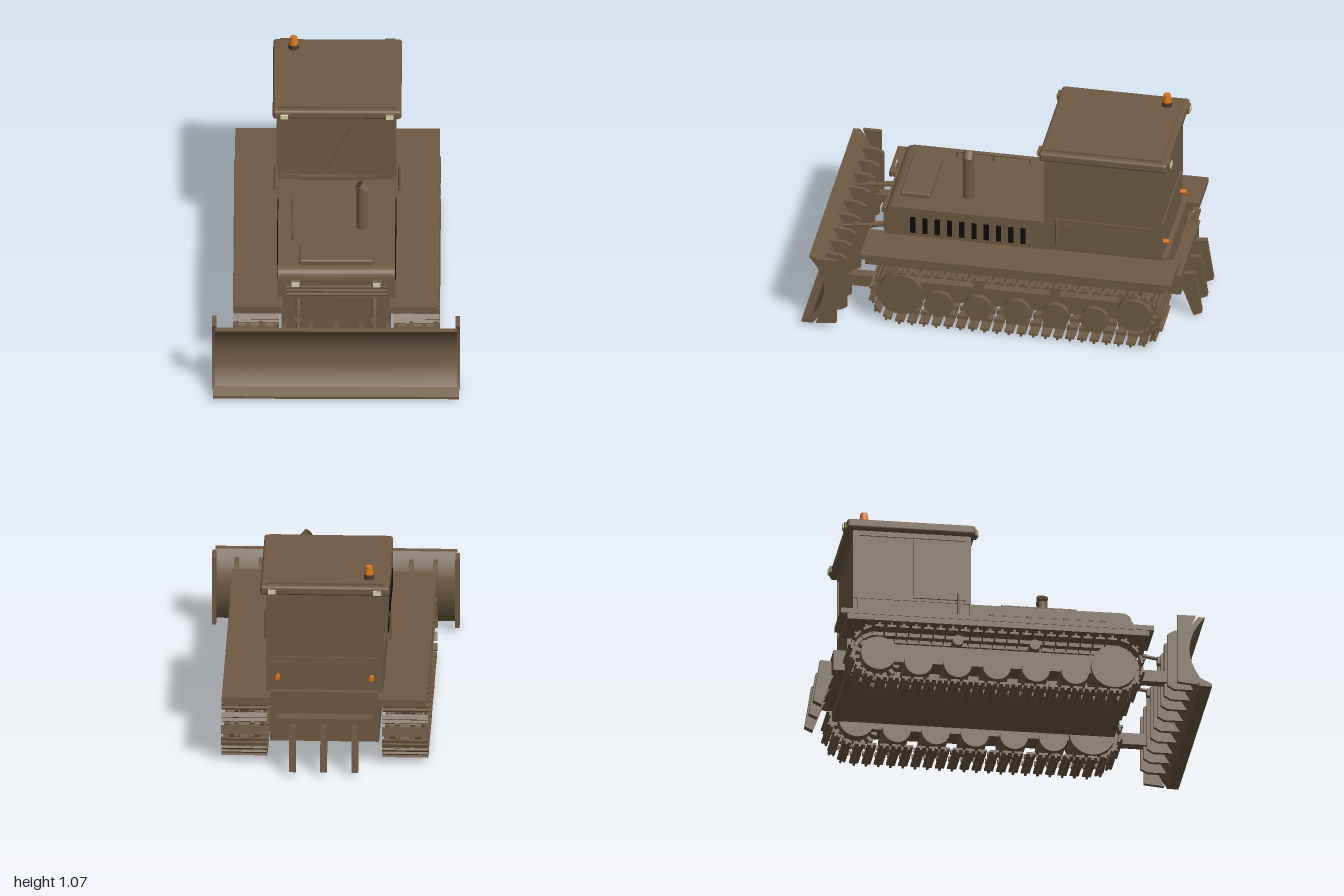
import * as THREE from 'three';
import { toCreasedNormals } from 'three/addons/utils/BufferGeometryUtils.js';
import { RoundedBoxGeometry } from 'three/addons/geometries/RoundedBoxGeometry.js';

export function createModel() {
  const model = new THREE.Group();
  const mat = (name, color) => Object.assign(new THREE.MeshStandardMaterial({ color }), { name });
  const brown = mat('brown paint', 0x6f5a43);
  const black = mat('vent black', 0x0c0c0c);
  const orange = mat('signal orange', 0xd8771c);
  const pale = mat('lamp glass', 0xdad5ac);
  const dark = mat('dark brown', 0x4a3c2e);

  const add = (name, geo, m, x = 0, y = 0, z = 0, parent = model) => {
    const mesh = new THREE.Mesh(geo, m);
    mesh.name = name;
    mesh.position.set(x, y, z);
    parent.add(mesh);
    return mesh;
  };
  // box given by its limits
  const box = (name, x0, x1, y0, y1, z0, z1, m = brown, r = 0, parent = model) => add(name,
    r ? new RoundedBoxGeometry(x1 - x0, y1 - y0, z1 - z0, 2, r) : new THREE.BoxGeometry(x1 - x0, y1 - y0, z1 - z0),
    m, (x0 + x1) / 2, (y0 + y1) / 2, (z0 + z1) / 2, parent);
  // side profile in (z, y) extruded across x
  const profile = (shape, width) => toCreasedNormals(
    new THREE.ExtrudeGeometry(shape, { depth: width, bevelEnabled: false, curveSegments: 14 })
      .translate(0, 0, -width / 2).rotateY(-Math.PI / 2), 0.6);
  const poly = pts => new THREE.Shape(pts.map(p => new THREE.Vector2(...p)));
  // thin rectangular frame in the xy plane
  const frame = (w, h, t, depth) => {
    const rect = (P, a, b) => new P([[-a, -b], [a, -b], [a, b], [-a, b]].map(p => new THREE.Vector2(...p)));
    const s = rect(THREE.Shape, w / 2, h / 2);
    s.holes.push(rect(THREE.Path, w / 2 - t, h / 2 - t));
    return new THREE.ExtrudeGeometry(s, { depth, bevelEnabled: false });
  };
  const rod = (name, a, b, r, m = brown) => {
    const p = new THREE.Vector3(...a), q = new THREE.Vector3(...b), d = q.clone().sub(p);
    const mesh = add(name, new THREE.CylinderGeometry(r, r, d.length(), 12), m);
    mesh.position.copy(p).add(q).multiplyScalar(0.5);
    mesh.quaternion.setFromUnitVectors(new THREE.Vector3(0, 1, 0), d.normalize());
    return mesh;
  };

  // hull and hood
  box('hull', -0.28, 0.28, 0.135, 0.41, -0.84, 0.62);
  const hood = new THREE.Shape();
  hood.moveTo(-0.21, 0.38).lineTo(0.63, 0.38).lineTo(0.63, 0.515);
  hood.quadraticCurveTo(0.628, 0.565, 0.575, 0.565).lineTo(-0.21, 0.565);
  add('hood', profile(hood, 0.6), brown);
  box('hoodHatch', -0.19, 0.19, 0.56, 0.59, 0.415, 0.57, brown, 0.01);
  add('grilleFrame', frame(0.54, 0.13, 0.013, 0.012), brown, 0, 0.468, 0.628);
  for (const y of [0.425, 0.448, 0.471, 0.515]) {
    const slat = box('grilleSlat', -0.26, 0.26, y - 0.004, y + 0.004, 0.625, 0.642);
    slat.rotation.x = 0.35;
  }

  // exhaust with an angled outlet
  rod('exhaustPipe', [0.13, 0.56, 0.225], [0.13, 0.8, 0.225], 0.029);
  rod('exhaustOutlet', [0.145, 0.792, 0.225], [0.115, 0.826, 0.225], 0.029);
  rod('exhaustBore', [0.116, 0.825, 0.225], [0.1145, 0.8267, 0.225], 0.022, dark);

  // hood handrail
  rod('handrail', [-0.225, 0.6, -0.035], [-0.225, 0.6, 0.355], 0.006);
  for (const z of [-0.03, 0.16, 0.35]) rod('handrailPost', [-0.225, 0.56, z], [-0.225, 0.6, z], 0.006);

  // cab, window frames and roof
  box('cab', -0.295, 0.295, 0.39, 0.96, -0.805, -0.21);
  add('windshieldFrame', frame(0.6, 0.38, 0.026, 0.01), brown, 0, 0.755, -0.212);
  add('rearWindowFrame', frame(0.6, 0.38, 0.026, 0.01), brown, 0, 0.755, -0.803).rotation.y = Math.PI;
  box('rearPanel', -0.3, 0.3, 0.4, 0.563, -0.812, -0.8);
  for (const s of [-1, 1]) {
    const turn = s * Math.PI / 2;
    add('sideWindowFrame', frame(0.6, 0.38, 0.025, 0.008), brown, s * 0.294, 0.755, -0.507).rotation.y = turn;
    box('doorPanel', s * 0.297 - 0.005, s * 0.297 + 0.005, 0.41, 0.563, -0.79, -0.225);
    rod('doorHandle', [s * 0.32, 0.455, -0.27], [s * 0.32, 0.61, -0.27], 0.007);
    for (const y of [0.47, 0.595]) rod('handleMount', [s * 0.29, y, -0.27], [s * 0.32, y, -0.27], 0.005);
  }
  box('slidingWindow', -0.31, -0.296, 0.58, 0.91, -0.5, -0.23);
  rod('wiper', [0.085, 0.91, -0.2], [-0.055, 0.63, -0.2], 0.005);
  box('wiperCowl', -0.19, 0.19, 0.568, 0.59, -0.212, -0.19);
  box('roof', -0.33, 0.33, 0.95, 1.0, -0.845, -0.18, brown, 0.014);
  box('roofPanel', -0.3, 0.3, 0.995, 1.01, -0.815, -0.21);

  // lamps
  for (const s of [-1, 1]) {
    const lamp = (name, x, y, z, dir) => {
      box(name + 'Housing', x - 0.027, x + 0.027, y - 0.018, y + 0.018, z - 0.012, z + 0.012, brown, 0.004);
      box(name + 'Glass', x - 0.02, x + 0.02, y - 0.012, y + 0.012, z + dir * 0.014 - 0.004, z + dir * 0.014 + 0.004, pale);
    };
    lamp('headlight', s * 0.208, 0.5, 0.646, 1);
    lamp('roofFrontLamp', s * 0.27, 0.975, -0.178, 1);
    lamp('roofRearLamp', s * 0.27, 0.975, -0.845, -1);
    rod('rearSignal', [s * 0.24, 0.485, -0.81], [s * 0.24, 0.485, -0.842], 0.013, orange);
  }
  add('beaconBase', new THREE.CylinderGeometry(0.026, 0.026, 0.03, 16), dark, -0.225, 1.02, -0.745);
  add('beacon', new THREE.CylinderGeometry(0.018, 0.025, 0.045, 16), orange, -0.225, 1.055, -0.745);

  // tracks, both sides
  const zF = 0.51, zR = -0.705, yC = 0.167, run = zF - zR, R = 0.138;
  const total = 2 * run + 2 * Math.PI * R, count = 52;
  const trackPoint = t => { // position and outward angle along the loop
    let d = t * total;
    if (d < run) return [zR + d, yC + R, Math.PI / 2];
    d -= run;
    if (d < Math.PI * R) { const a = Math.PI / 2 - d / R; return [zF + R * Math.cos(a), yC + R * Math.sin(a), a]; }
    d -= Math.PI * R;
    if (d < run) return [zF - d, yC - R, -Math.PI / 2];
    const a = -Math.PI / 2 - (d - run) / R;
    return [zR + R * Math.cos(a), yC + R * Math.sin(a), a];
  };
  const shoeGeo = new THREE.BoxGeometry(0.235, 0.012, 0.046);
  const grouserGeo = new THREE.BoxGeometry(0.235, 0.022, 0.012);
  const linkGeo = new THREE.BoxGeometry(0.022, 0.022, 0.055);
  for (const s of [-1, 1]) {
    const side = new THREE.Group();
    side.name = s > 0 ? 'leftTrack' : 'rightTrack';
    model.add(side);
    const cx = s * 0.412;
    const wheel = (name, y, z, r, w, n = 28) =>
      add(name, new THREE.CylinderGeometry(r, r, w, n).rotateZ(Math.PI / 2), brown, cx, y, z, side);
    wheel('idler', 0.167, zF, 0.117, 0.18);
    wheel('sprocket', 0.172, zR, 0.092, 0.16);
    for (let i = 0; i < 16; i++) {
      const a = i / 16 * Math.PI * 2;
      add('sprocketTooth', new THREE.BoxGeometry(0.05, 0.04, 0.02), brown, cx,
        0.17 + 0.1 * Math.cos(a), zR + 0.1 * Math.sin(a), side).rotation.x = a;
    }
    for (let i = 0; i < 5; i++) wheel('roadWheel', 0.128, 0.31 - i * 0.2025, 0.072, 0.18);
    for (const z of [0.103, -0.295]) wheel('returnRoller', 0.268, z, 0.028, 0.17, 18);
    box('trackFrame', cx - 0.06, cx + 0.06, 0.135, 0.235, -0.62, 0.45, brown, 0, side);
    for (let i = 0; i < count; i++) {
      const [z, y, a] = trackPoint(i / count);
      const shoe = new THREE.Group();
      shoe.name = 'trackShoe';
      shoe.position.set(cx, y, z);
      shoe.rotation.x = Math.PI / 2 - a;
      side.add(shoe);
      add('shoePlate', shoeGeo, brown, 0, 0.005, 0, shoe);
      add('grouser', grouserGeo, brown, 0, 0.013, 0, shoe);
      for (const x of [-0.04, 0.04]) add('trackLink', linkGeo, brown, x, -0.01, 0, shoe);
    }
    // fender above the track
    box('fender', cx - 0.137, cx + 0.113, 0.373, 0.4, -0.905, 0.715);
    box('fenderSkirt', cx - 0.137, cx + 0.106, 0.343, 0.375, -0.87, 0.69);
    if (s < 0) side.children.length && model.children.slice(-2).forEach(m => { m.position.x = -0.4; });
    // hood side vents
    for (let i = 0; i < 10; i++) {
      const z = 0.482 - i * 0.0638;
      box('hoodVent', s * 0.301 - 0.004, s * 0.301 + 0.004, 0.422, 0.515, z - 0.013, z + 0.013, black);
    }
    // blade push arm and lift cylinder
    box('pushArm', s * 0.385 - 0.028, s * 0.385 + 0.028, 0.137, 0.2, 0.4, 0.86);
    rod('liftCylinder', [s * 0.195, 0.4, 0.6], [s * 0.195, 0.375, 0.72], 0.014);
    rod('liftRod', [s * 0.195, 0.38, 0.7], [s * 0.195, 0.355, 0.86], 0.009);
    box('liftBracket', s * 0.195 - 0.017, s * 0.195 + 0.017, 0.335, 0.375, 0.775, 0.81);
  }

  // curved blade
  const blade = new THREE.Shape();
  blade.moveTo(0.965, 0.418).quadraticCurveTo(0.805, 0.235, 0.965, 0.045);
  blade.lineTo(0.935, 0.03).quadraticCurveTo(0.775, 0.235, 0.93, 0.418);
  add('blade', profile(blade, 1.24), brown);
  add('cuttingEdge', profile(poly([[1.0, 0.025], [1.0, 0.04], [0.945, 0.068], [0.93, 0.05], [0.94, 0.025]]), 1.26), brown);
  for (const s of [-1, 1]) {
    const cheek = new THREE.Shape();
    cheek.moveTo(0.82, 0.418).lineTo(0.915, 0.418).quadraticCurveTo(0.825, 0.235, 0.925, 0.03).lineTo(0.82, 0.04);
    add('bladeCheek', profile(cheek, 0.022), brown, s * 0.624);
  }
  // blade back ribs
  const rib = poly([[0.785, 0.07], [0.785, 0.36], [0.82, 0.38], [0.9, 0.385], [0.868, 0.3], [0.862, 0.2], [0.9, 0.09], [0.92, 0.05], [0.82, 0.05]]);
  for (const x of [-0.51, -0.385, -0.265, -0.13, 0, 0.13, 0.265, 0.385, 0.51]) add('bladeRib', profile(rib, 0.022), brown, x);

  // rear ripper
  box('ripperBeam', -0.25, 0.25, 0.175, 0.287, -0.905, -0.82);
  const shank = poly([[-0.89, 0.255], [-0.965, 0.26], [-1.0, 0.03], [-0.958, 0.01], [-0.905, 0.155], [-0.89, 0.18]]);
  for (const x of [-0.16, 0, 0.16]) add('ripperShank', profile(shank, 0.034), brown, x);
  return model;
}
